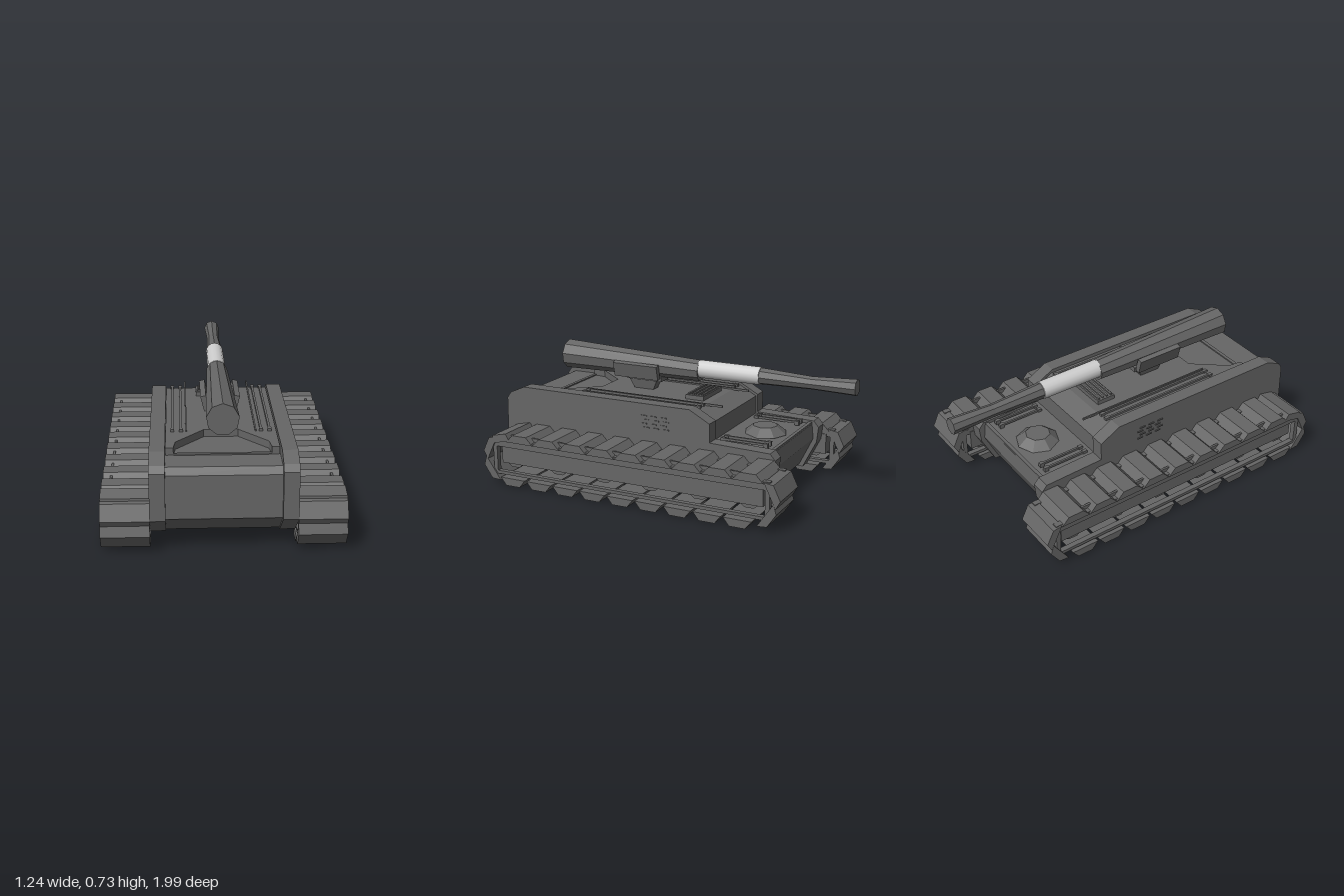
import * as THREE from 'three';

const steel = new THREE.MeshStandardMaterial({ color: 0x666666, flatShading: true });
steel.name = 'steelGrey';
const silver = new THREE.MeshStandardMaterial({ color: 0xcfcfcf });
silver.name = 'lightSleeve';

export function createModel() {
  const model = new THREE.Group();
  model.name = 'trackedGun';

  const add = (name, geo, x = 0, y = 0, z = 0, mat = steel, parent = model) => {
    const m = new THREE.Mesh(geo, mat);
    m.name = name;
    m.position.set(x, y, z);
    parent.add(m);
    return m;
  };
  const box = (name, w, h, d, x, y, z, parent = model) =>
    add(name, new THREE.BoxGeometry(w, h, d), x, y, z, steel, parent);

  // Side profile given as [z, y] points, extruded across x and centred on it
  const profile = (pts, width) => {
    const shape = new THREE.Shape(pts.map(([z, y]) => new THREE.Vector2(-z, y)));
    return new THREE.ExtrudeGeometry(shape, { depth: width, bevelEnabled: false })
      .translate(0, 0, -width / 2).rotateY(Math.PI / 2);
  };
  // Plan outline given as [x, z] points, extruded upward
  const plan = (pts, height) => {
    const shape = new THREE.Shape(pts.map(([x, z]) => new THREE.Vector2(x, -z)));
    return new THREE.ExtrudeGeometry(shape, { depth: height, bevelEnabled: false })
      .rotateX(-Math.PI / 2);
  };
  // Tube along z; r0 is the +z radius, r1 the -z radius
  const barrel = (name, z0, z1, r0, r1, y0, y1, sides, mat = steel) => {
    const geo = new THREE.CylinderGeometry(r1, r0, z0 - z1, sides).rotateX(-Math.PI / 2);
    const m = add(name, geo, 0, (y0 + y1) / 2, (z0 + z1) / 2, mat);
    m.rotation.x = Math.atan2(y1 - y0, z0 - z1);
  };

  // Hull
  add('hull', profile([
    [0.965, 0.2], [0.96, 0.43], [0.93, 0.465], [-0.27, 0.465], [-0.3, 0.45], [-0.3, 0.345],
    [-0.65, 0.325], [-0.66, 0.24], [-0.58, 0.075], [0.8, 0.07],
  ], 0.6));

  // Upper deck with an angled notch below the breech
  add('upperDeck', plan([
    [-0.25, 0.77], [-0.24, 0.69], [-0.09, 0.51], [0.09, 0.51], [0.24, 0.69], [0.25, 0.77],
    [0.29, 0.77], [0.29, -0.2], [-0.29, -0.2], [-0.29, 0.77],
  ], 0.04), 0, 0.465, 0);
  add('deckSlope', profile([[-0.2, 0.465], [-0.2, 0.505], [-0.3, 0.45], [-0.27, 0.44]], 0.58));
  box('notchSill', 0.5, 0.008, 0.02, 0, 0.468, 0.765);

  // Engine grille
  box('grille', 0.24, 0.03, 0.11, 0, 0.515, -0.1);
  for (let i = 0; i < 4; i++) box('grilleSlat', 0.22, 0.012, 0.012, 0, 0.532, -0.14 + i * 0.027);

  // Rear hatch
  add('rearHatch', new THREE.CylinderGeometry(0.07, 0.125, 0.045, 8), 0, 0.357, -0.48);
  box('rearSill', 0.58, 0.012, 0.02, 0, 0.332, -0.64);

  // Gun
  barrel('breech', 0.785, -0.085, 0.085, 0.06, 0.657, 0.645, 9);
  barrel('sleeve', -0.08, -0.45, 0.051, 0.05, 0.655, 0.655, 16, silver);
  barrel('barrelTaper', -0.45, -0.75, 0.047, 0.036, 0.655, 0.65, 8);
  barrel('muzzle', -0.745, -1, 0.036, 0.046, 0.65, 0.653, 8);
  add('gunMount', plan([[-0.045, 0.37], [0.045, 0.37], [0.045, 0.15], [-0.045, 0.15]], 0.03), 0, 0.56, 0);
  const pedestal = add('gunPedestal',
    new THREE.CylinderGeometry(0.06, 0.036, 0.08, 4).rotateY(Math.PI / 4), 0, 0.54, 0.27);
  pedestal.scale.z = 2.3;

  // Left and right halves
  for (const s of [1, -1]) {
    const side = new THREE.Group();
    side.name = s > 0 ? 'leftSide' : 'rightSide';
    model.add(side);
    const put = (name, geo, x, y = 0, z = 0) => add(name, geo, s * x, y, z, steel, side);
    const block = (name, w, h, d, x, y, z) => box(name, w, h, d, s * x, y, z, side);

    // Armoured side wall
    put('sideWall', profile([
      [0.99, 0.2], [0.985, 0.45], [0.96, 0.485], [0.87, 0.525], [-0.19, 0.525], [-0.31, 0.46],
      [-0.31, 0.355], [-0.66, 0.345], [-0.69, 0.31], [-0.68, 0.22], [-0.6, 0.06], [0.8, 0.06],
    ], 0.08), 0.332);

    // Breech cheek plate
    const cheek = block('breechCheek', 0.03, 0.085, 0.28, 0.08, 0.622, 0.29);
    cheek.rotation.z = -s * 0.25;

    // Deck rail and rods
    block('deckRail', 0.008, 0.012, 0.84, 0.182, 0.507, 0.12);
    for (const x of [0.21, 0.255]) {
      block('deckRod', 0.012, 0.012, 0.74, x, 0.512, 0.17);
      block('rearRod', 0.012, 0.012, 0.27, x, 0.35, -0.465);
      for (const z of [-0.19, 0.53]) block('rodClamp', 0.02, 0.016, 0.025, x, 0.511, z);
      for (const z of [-0.59, -0.34]) block('rodClamp', 0.02, 0.025, 0.025, x, 0.346, z);
    }

    // Side vents
    for (let r = 0; r < 4; r++)
      for (let c = 0; c < 3; c++)
        block('sideVent', 0.006, 0.007, 0.035, 0.374, 0.39 + r * 0.022, -0.05 + c * 0.06 + (r % 2) * 0.015);

    // Running gear: core panel, frame bars, posts and wheels
    block('trackCore', 0.21, 0.12, 1.6, 0.475, 0.19, 0.09);
    for (const x of [0.39, 0.595]) {
      block('upperFrameBar', 0.03, 0.045, 1.68, x, 0.257, 0.085);
      block('lowerFrameBar', 0.03, 0.018, 1.68, x, 0.08, 0.085);
      for (const z of [0.915, -0.745]) block('framePost', 0.03, 0.21, 0.025, x, 0.175, z);
    }
    for (let i = 0; i < 6; i++)
      put('roadWheel', new THREE.CylinderGeometry(0.08, 0.08, 0.19, 10).rotateZ(Math.PI / 2),
        0.475, 0.185, 0.81 - i * 0.288);

    // Track shoe: trapezoid at [z, y] whose narrow side points along angle a
    const shoe = (z, y, a, wide = 0.083) => {
      const c = Math.cos(a), n = Math.sin(a);
      const pts = [[-wide, -0.022], [-0.045, 0.022], [0.045, 0.022], [wide, -0.022]]
        .map(([t, v]) => [z + c * v - n * t, y + n * v + c * t]);
      put('trackShoe', profile(pts, 0.248), 0.495);
    };
    for (let i = 0; i < 9; i++) {
      shoe(0.8 - i * 0.173, 0.032, -Math.PI / 2, 0.08);
      shoe(0.745 - i * 0.173, 0.291, Math.PI / 2, 0.087);
      block('trackPin', 0.012, 0.025, 0.06, 0.575, 0.288, 0.83 - i * 0.173);
    }
    shoe(0.875, 0.285, 1.35, 0.06);
    shoe(0.95, 0.23, 0.45, 0.075);
    shoe(0.945, 0.09, -0.6, 0.08);
    shoe(-0.78, 0.22, Math.PI - 0.45, 0.075);
    shoe(-0.755, 0.09, Math.PI + 0.6, 0.08);
  }
  return model;
}
